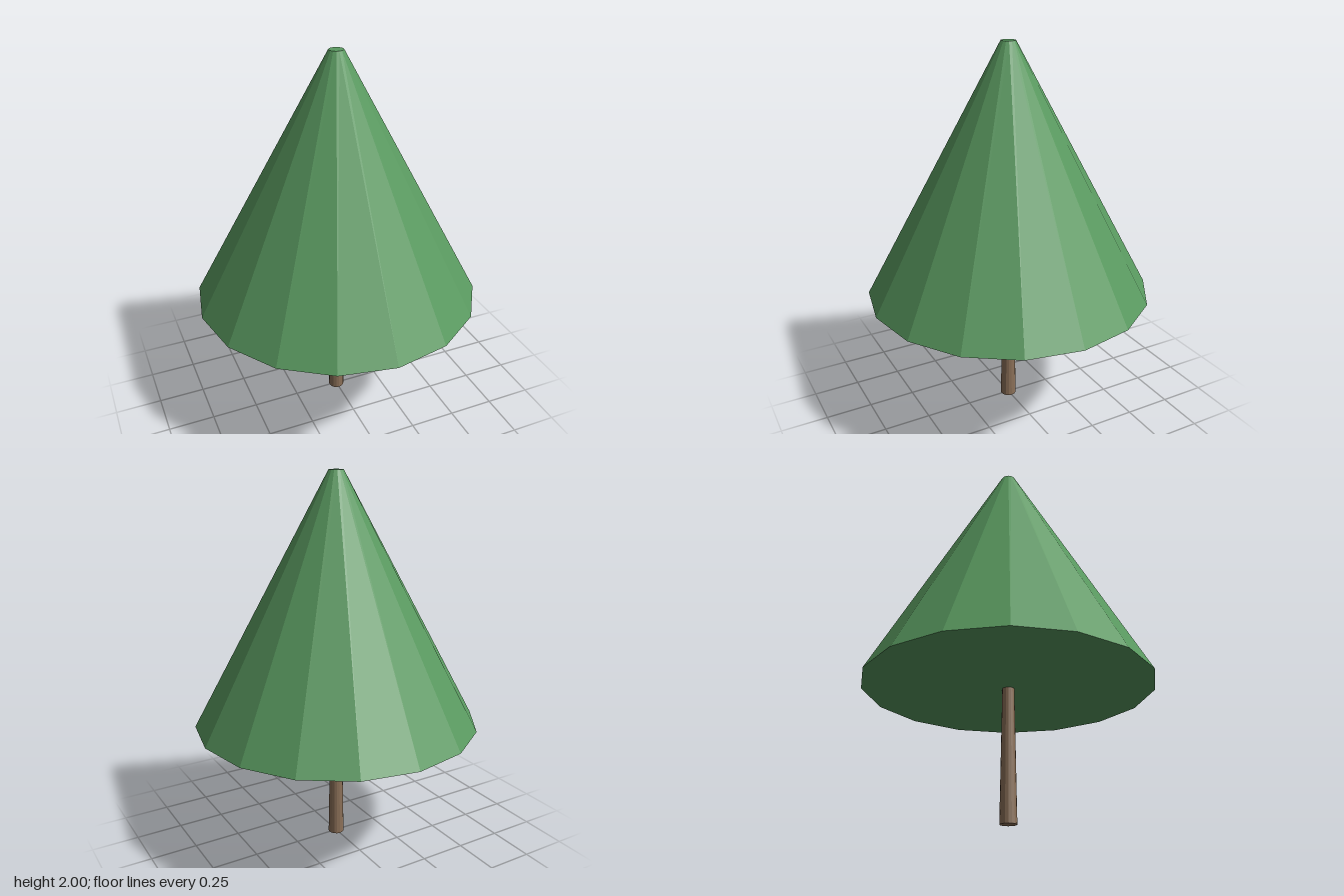
import * as THREE from 'three';

export function createModel() {
  const tree = new THREE.Group();
  tree.name = 'tree';

  const leafGreen = new THREE.MeshStandardMaterial({ color: 0x5a9a60 });
  leafGreen.name = 'leaf green';
  const barkBrown = new THREE.MeshStandardMaterial({ color: 0x8b7058 });
  barkBrown.name = 'bark brown';

  // Faceted, tapered solid standing between two heights
  function addTaper(name, material, rTop, rBottom, yBottom, yTop, sides) {
    const geometry = new THREE.CylinderGeometry(rTop, rBottom, yTop - yBottom, sides).toNonIndexed();
    geometry.computeVertexNormals(); // flat facets
    const mesh = new THREE.Mesh(geometry, material);
    mesh.name = name;
    mesh.position.y = (yBottom + yTop) / 2;
    tree.add(mesh);
  }

  // Slim trunk, ending just inside the foliage
  addTaper('trunk', barkBrown, 0.031, 0.043, 0, 0.69, 16);

  // Conical foliage with a small flat tip
  addTaper('foliage', leafGreen, 0.038, 0.755, 0.684, 2, 16);

  return tree;
}
